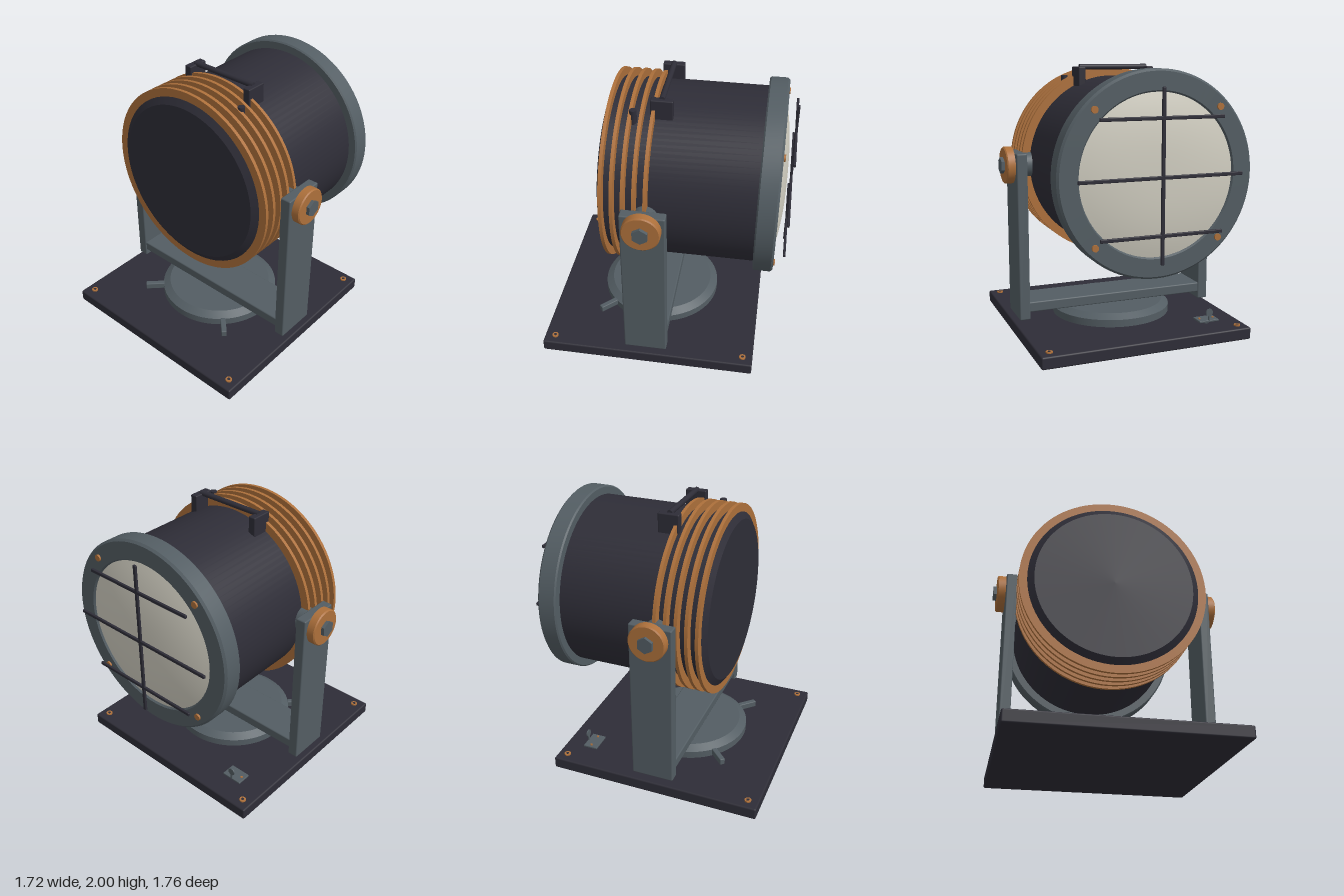
import * as THREE from 'three';
import { toCreasedNormals } from 'three/addons/utils/BufferGeometryUtils.js';
import { RoundedBoxGeometry } from 'three/addons/geometries/RoundedBoxGeometry.js';

const material = (name, color) => new THREE.MeshStandardMaterial({ name, color });

export function createModel() {
  const dark = material('dark housing', 0x2e2d37);
  const steel = material('grey steel', 0x535d63);
  const copper = material('copper', 0xad703b);
  const glass = material('lens glass', 0xd0cdc0);

  const model = new THREE.Group();
  model.name = 'searchlight';
  const axisY = 1.275, pivotZ = 0.085;

  const add = (name, geometry, mat, x = 0, y = 0, z = 0, parent = model) => {
    const mesh = new THREE.Mesh(geometry, mat);
    mesh.name = name;
    mesh.position.set(x, y, z);
    parent.add(mesh);
    return mesh;
  };
  const box = (w, h, d, r = 0.01) => new RoundedBoxGeometry(w, h, d, 2, r);
  // Turned solid from [radius, height] pairs, along y unless rotated
  const turned = (profile, sides = 72) => toCreasedNormals(
    new THREE.LatheGeometry(profile.map(([r, h]) => new THREE.Vector2(r, h)), sides), 0.45);
  const alongZ = (g) => g.rotateX(Math.PI / 2);
  const alongX = (g) => g.rotateZ(-Math.PI / 2);

  // Base plate with corner screws
  add('basePlate', box(1.6, 0.09, 1.6, 0.012), dark, 0, 0.045, 0.08);
  for (const x of [-0.725, 0.725]) for (const z of [-0.645, 0.8]) {
    add('baseScrew', new THREE.CylinderGeometry(0.024, 0.024, 0.02, 20), copper, x, 0.09, z);
    add('baseScrewSocket', new THREE.CylinderGeometry(0.012, 0.012, 0.004, 6), dark, x, 0.1, z);
  }

  // Turntable and its two clamp lugs
  add('turntable', turned([[0, 0.085], [0.455, 0.085], [0.455, 0.145], [0.4, 0.18], [0, 0.18]]),
    steel, 0, 0, pivotZ);
  for (const s of [-1, 1]) {
    const lug = add('clampLug', box(0.15, 0.05, 0.04, 0.006), steel, s * 0.37, 0.125, 0.455);
    lug.rotation.y = -s * Math.PI / 4;
  }

  // Small switch bracket on the rear corner of the base
  add('switchPlate', box(0.16, 0.015, 0.11, 0.004), steel, -0.54, 0.118, -0.505);
  add('switchFoot', new THREE.CylinderGeometry(0.02, 0.02, 0.03, 12), steel, -0.54, 0.1, -0.505);
  add('switchTab', alongZ(new THREE.CylinderGeometry(0.028, 0.028, 0.01, 20)), steel, -0.54, 0.185, -0.555);
  add('switchStem', box(0.014, 0.06, 0.01, 0.003), steel, -0.54, 0.145, -0.555);
  for (const x of [-0.595, -0.485])
    add('switchRivet', new THREE.CylinderGeometry(0.009, 0.009, 0.008, 12), copper, x, 0.128, -0.505);

  // Yoke: crossbar, two arms, pivot knobs and hex bolts
  add('yokeCrossbar', box(1.42, 0.077, 0.3), steel, 0, 0.223, pivotZ);
  for (const s of [-1, 1]) {
    add('yokeArm', box(0.08, 1.24, 0.315), steel, s * 0.735, 0.75, pivotZ);
    add('pivotStub', alongX(new THREE.CylinderGeometry(0.09, 0.09, 0.1, 32)), steel, s * 0.66, axisY, pivotZ);
    const pivot = new THREE.Group();
    pivot.name = 'pivotKnob';
    pivot.position.set(s * 0.775, axisY, pivotZ);
    pivot.rotation.y = s > 0 ? 0 : Math.PI;
    model.add(pivot);
    add('knobDisc', alongX(turned([[0, 0], [0.135, 0], [0.135, 0.053], [0.127, 0.061], [0, 0.061]], 48)),
      copper, 0, 0, 0, pivot);
    const hex = new THREE.CylinderGeometry(0.06, 0.06, 0.03, 6).rotateY(Math.PI / 2);
    add('hexBolt', toCreasedNormals(alongX(hex), 0.4), steel, 0.07, 0, 0, pivot);
  }

  // Lamp drum and cooling fins
  add('drum', alongZ(turned([[0, -0.7], [0.64, -0.7], [0.64, 0.4], [0.592, 0.43], [0, 0.43]], 96)),
    dark, 0, axisY, 0);
  for (let i = 0; i < 5; i++)
    add('coolingFin', alongZ(turned([[0.62, -0.012], [0.7, -0.012], [0.7, 0.012], [0.62, 0.012]], 96)),
      copper, 0, axisY, 0.082 + i * 0.0765);
  add('ventPlug', new THREE.CylinderGeometry(0.025, 0.025, 0.11, 20), dark, 0.32, 1.86, 0.215);

  // Carrying handle on top of the drum
  for (const s of [-1, 1])
    add('handlePost', box(0.056, 0.15, 0.155, 0.008), dark, s * 0.268, 1.907, 0.027);
  add('handleBar', alongX(new THREE.CylinderGeometry(0.02, 0.02, 0.53, 20)), dark, 0, 1.98, 0.027);

  // Lens bezel, domed lens and bezel screws at the rear
  add('lensBezel', alongZ(turned([[0.555, -0.79], [0.565, -0.802], [0.69, -0.802], [0.705, -0.787],
    [0.705, -0.67], [0.695, -0.66], [0.6, -0.66], [0.555, -0.69], [0.555, -0.79]].reverse()
    .map((p) => p).reverse(), 96)), steel, 0, axisY, 0);
  const dome = [];
  for (let i = 0; i <= 12; i++) {
    const r = 0.56 * i / 12;
    dome.push([r, -0.847 + 0.06 * (r / 0.56) ** 2.6]);
  }
  add('lens', alongZ(turned(dome, 72)), glass, 0, axisY, 0);
  for (const sx of [-1, 1]) for (const sy of [-1, 1])
    add('bezelScrew', alongZ(new THREE.CylinderGeometry(0.024, 0.024, 0.024, 20)), copper,
      sx * 0.45, axisY + sy * 0.45, -0.803);

  // Guard bars in front of the lens, cut to a circle
  const guardR = 0.59, guardZ = -0.876;
  add('guardUpright', box(0.025, guardR * 2, 0.018, 0.005), dark, 0, axisY, guardZ);
  for (const dy of [-0.39, 0, 0.39])
    add('guardBar', box(2 * Math.sqrt(guardR ** 2 - dy ** 2), 0.025, 0.018, 0.005), dark, 0, axisY + dy, guardZ);

  return model;
}
